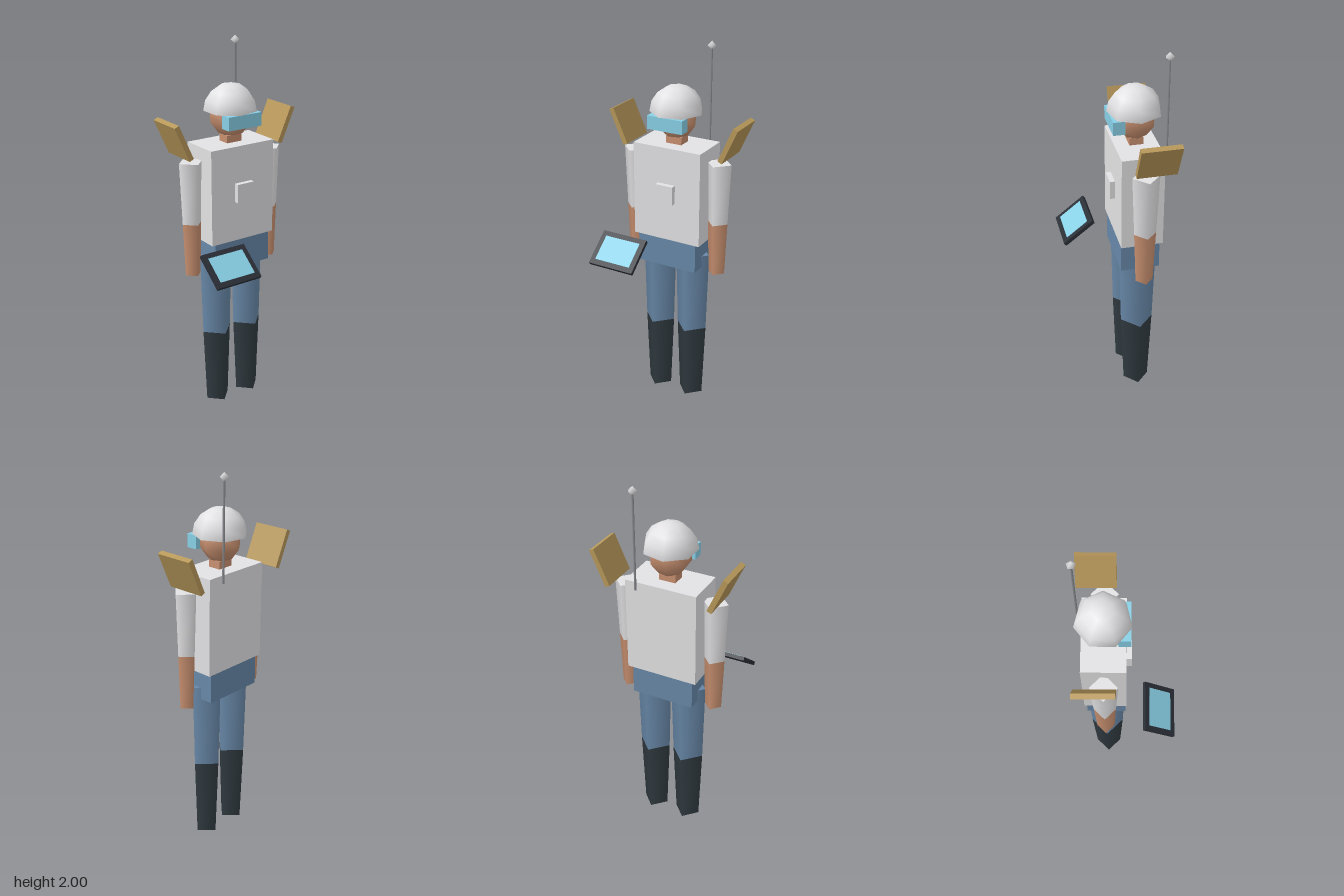
import * as THREE from 'three';

const mat = (name, color, extra = {}) => {
  const m = new THREE.MeshStandardMaterial({ color, ...extra });
  m.name = name;
  return m;
};

export function createModel() {
  const white = mat('white suit', 0xe2e2e4);
  const shell = mat('white helmet', 0xe2e2e4, { side: THREE.DoubleSide });
  const skin = mat('skin', 0xc89070);
  const denim = mat('blue trousers', 0x6888a8);
  const boot = mat('dark boots', 0x303a40);
  const gold = mat('gold panels', 0xb8985a);
  const black = mat('tablet case', 0x2a2e35);
  const cyan = mat('cyan glass', 0x88d0e6);
  const steel = mat('antenna grey', 0x8c8e92);

  const model = new THREE.Group();
  const Z = -0.105; // body centre line

  const add = (name, geo, material, x, y, z, parent = model) => {
    const mesh = new THREE.Mesh(geo, material);
    mesh.name = name;
    mesh.position.set(x, y, z);
    parent.add(mesh);
    return mesh;
  };
  const box = (name, material, w, h, d, x, y, z, parent) =>
    add(name, new THREE.BoxGeometry(w, h, d), material, x, y, z, parent);
  // Four-sided tapered limb section between two heights
  const limb = (name, material, x, y0, r0, y1, r1) =>
    add(name, new THREE.CylinderGeometry(r1, r0, y1 - y0, 4), material, x, (y0 + y1) / 2, Z);

  // Trunk
  box('torso', white, 0.386, 0.51, 0.22, 0, 1.235, Z);
  box('chestUnit', white, 0.1, 0.1, 0.03, 0, 1.245, 0.017);
  box('pelvis', denim, 0.34, 0.16, 0.205, 0, 0.9, Z + 0.003);

  // Head with helmet and visor
  box('neck', skin, 0.09, 0.05, 0.07, 0, 1.505, Z);
  add('head', new THREE.SphereGeometry(0.11, 7, 5), skin, 0, 1.625, Z).rotation.y = Math.PI;
  add('helmet', new THREE.SphereGeometry(0.14, 7, 4, 0, Math.PI * 2, 0, Math.PI / 2),
    shell, 0, 1.653, Z).rotation.y = Math.PI;
  box('visor', cyan, 0.2, 0.07, 0.06, 0, 1.618, -0.004);

  // Limbs and tilted shoulder panels
  for (const s of [-1, 1]) {
    limb('sleeve', white, s * 0.245, 1.09, 0.057, 1.42, 0.07);
    limb('forearm', skin, s * 0.245, 0.8, 0.046, 1.09, 0.057);
    limb('trouserLeg', denim, s * 0.1, 0.43, 0.088, 0.885, 0.1);
    limb('boot', boot, s * 0.1, 0, 0.07, 0.43, 0.088);
    box('shoulderPanel', gold, 0.027, 0.2, 0.203, s * 0.316, 1.538, -0.147).rotation.z = -s * 0.42;
  }

  // Antenna
  add('antennaRod', new THREE.CylinderGeometry(0.006, 0.006, 0.52, 5), steel, 0.123, 1.72, -0.238);
  add('antennaTip', new THREE.SphereGeometry(0.023, 5, 2), white, 0.123, 1.977, -0.238).rotation.y = Math.PI;

  // Tilted tablet floating before the right hand
  const tablet = new THREE.Group();
  tablet.name = 'tablet';
  tablet.position.set(-0.195, 0.928, 0.175);
  tablet.rotation.x = -0.9;
  model.add(tablet);
  box('tabletCase', black, 0.262, 0.2, 0.02, 0, 0, 0, tablet);
  box('tabletScreen', cyan, 0.207, 0.143, 0.004, 0, 0, 0.0105, tablet);

  return model;
}
